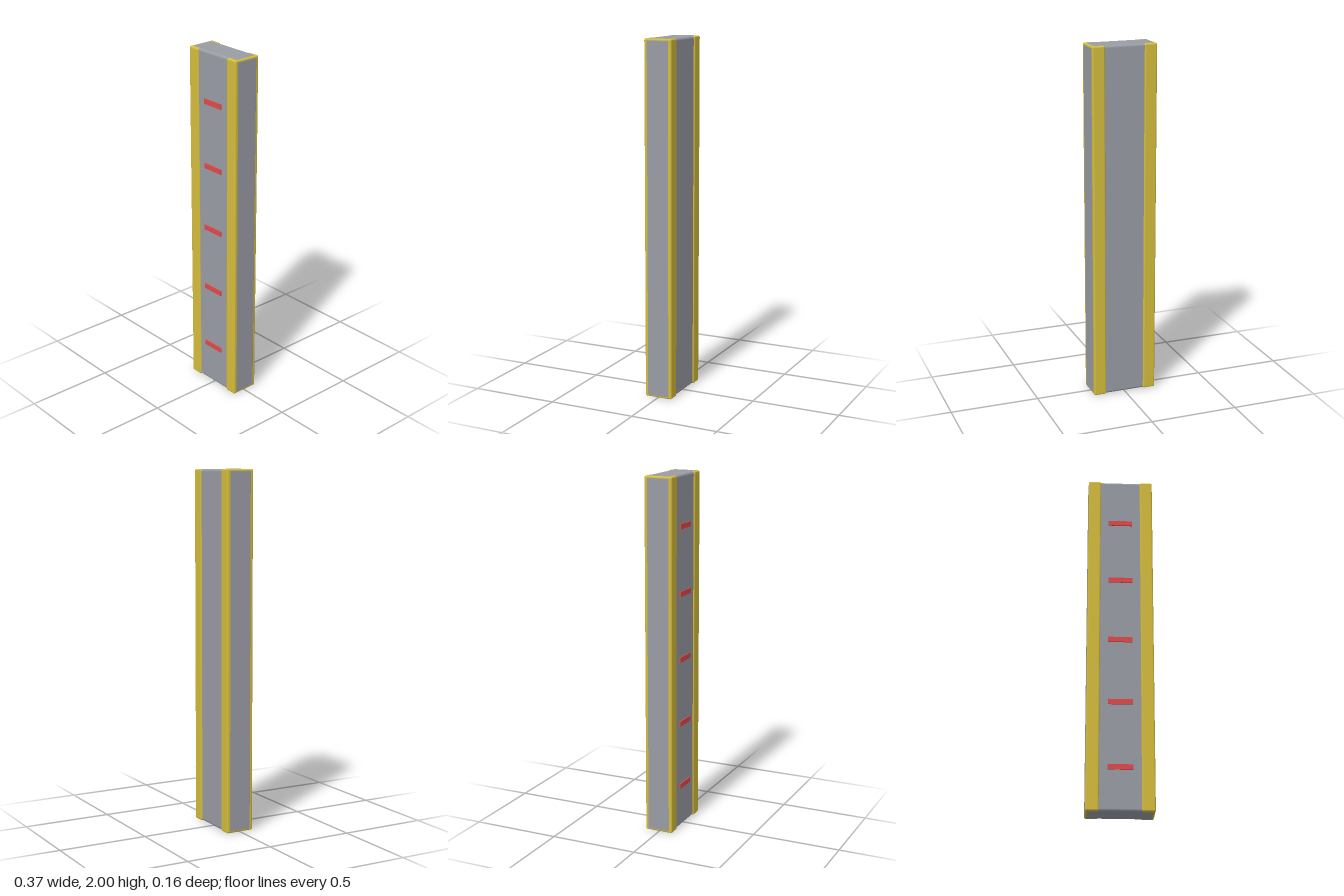
import * as THREE from 'three';
import { RoundedBoxGeometry } from 'three/addons/geometries/RoundedBoxGeometry.js';

const grey = new THREE.MeshStandardMaterial({ color: 0xcccccc });
const bodyGrey = new THREE.MeshStandardMaterial({ color: 0x9a9ca5 });
const yellow = new THREE.MeshStandardMaterial({ color: 0xd4bd3c });
const red = new THREE.MeshStandardMaterial({ color: 0xe04a4a });

function add(parent, name, geometry, material, x, y, z) {
  const mesh = new THREE.Mesh(geometry, material || grey);
  mesh.name = name;
  mesh.position.set(x, y, z);
  parent.add(mesh);
  return mesh;
}

export function createModel() {
  const model = new THREE.Group();
  model.name = 'pillar';

  // Core slab; its flat ends and sides sit a hair proud of the rails
  add(model, 'body', new RoundedBoxGeometry(0.37, 2, 0.149, 3, 0.0145), bodyGrey, 0, 1, -0.002);

  // Rails wrapping the left and right edges
  const railGeometry = new RoundedBoxGeometry(0.072, 1.999, 0.162, 3, 0.009);
  for (const side of [1, -1]) {
    add(model, side > 0 ? 'leftRail' : 'rightRail', railGeometry, yellow, side * 0.1485, 1, -0.002);
  }

  // Evenly spaced marker bars on the front
  const markerGeometry = new THREE.BoxGeometry(0.135, 0.029, 0.014);
  for (let i = 0; i < 5; i++) {
    add(model, `marker${i + 1}`, markerGeometry, red, 0, 0.241 + i * 0.37, 0.072);
  }
  return model;
}
